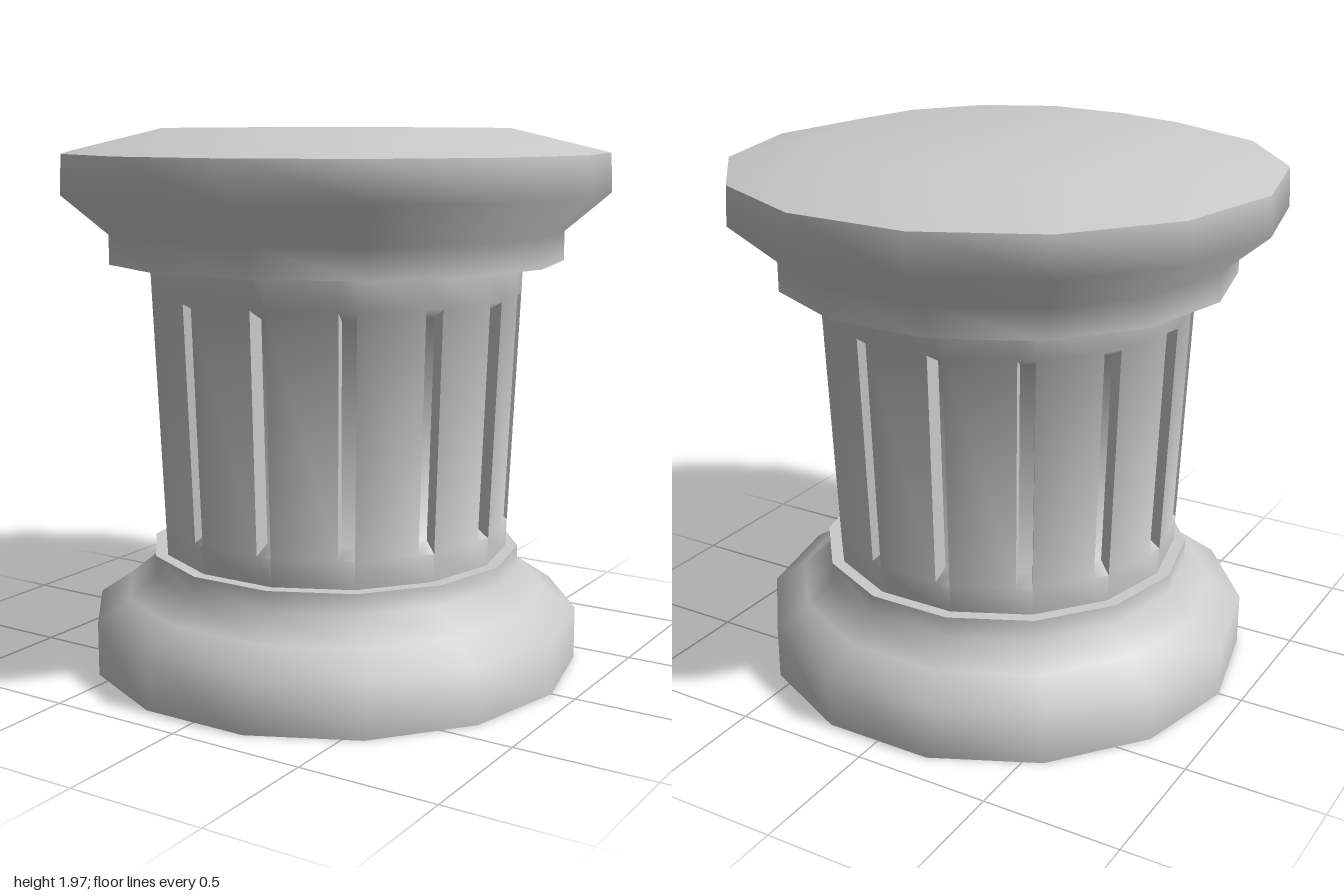
import * as THREE from 'three';
import { toCreasedNormals } from 'three/addons/utils/BufferGeometryUtils.js';

const SIDES = 14;
const CREASE = 1.08;
const material = new THREE.MeshStandardMaterial({ color: 0xcccccc, side: THREE.DoubleSide });

function addMesh(group, name, geometry) {
  const mesh = new THREE.Mesh(toCreasedNormals(geometry, CREASE), material);
  mesh.name = name;
  group.add(mesh);
}

// Fourteen-sided turned part with a corner on the x axis
function turned(profile) {
  const points = profile.map(([r, y]) => new THREE.Vector2(r, y));
  return new THREE.LatheGeometry(points, SIDES, Math.PI / 2, Math.PI * 2);
}

// Tapered shaft: each facet has one sunken slot beside its corner
function shaftGeometry() {
  const positions = [];
  const rows = [0.43, 0.53, 1.38, 1.5];
  const columns = [0, 0.2, 1];
  const depth = 0.06;
  const step = (Math.PI * 2) / SIDES;

  const quad = (a, b, c, d) => {
    for (const p of [a, b, c, a, c, d]) positions.push(p.x, p.y, p.z);
  };

  for (let k = 0; k < SIDES; k++) {
    const a0 = k * step;
    const a1 = ((k + 1) % SIDES) * step;
    const mid = (k + 0.5) * step;

    // Point on the facet: u across, y up, sunk inwards
    const at = (u, y, sink = 0) => {
      const r = 0.645 + (0.045 * (y - 0.43)) / 1.07;
      return new THREE.Vector3(
        r * THREE.MathUtils.lerp(Math.cos(a0), Math.cos(a1), u) - sink * Math.cos(mid),
        y,
        r * THREE.MathUtils.lerp(Math.sin(a0), Math.sin(a1), u) - sink * Math.sin(mid)
      );
    };

    for (let i = 0; i < 2; i++) {
      for (let j = 0; j < 3; j++) {
        if (i === 0 && j === 1) continue; // slot opening
        const [u0, u1, y0, y1] = [columns[i], columns[i + 1], rows[j], rows[j + 1]];
        quad(at(u0, y0), at(u0, y1), at(u1, y1), at(u1, y0));
      }
    }

    // Slot walls with sloping ends, then the slot floor
    const rim = [at(0, 0.53), at(0, 1.38), at(0.2, 1.38), at(0.2, 0.53)];
    const floor = [
      at(0.015, 0.565, depth), at(0.015, 1.345, depth),
      at(0.185, 1.345, depth), at(0.185, 0.565, depth)
    ];
    for (let i = 0; i < 4; i++) {
      const n = (i + 1) % 4;
      quad(rim[i], rim[n], floor[n], floor[i]);
    }
    quad(...floor);
  }

  const geometry = new THREE.BufferGeometry();
  geometry.setAttribute('position', new THREE.Float32BufferAttribute(positions, 3));
  return geometry;
}

export function createModel() {
  const group = new THREE.Group();
  group.name = 'column';

  // Hollow foot, open underneath, with a ledge around the shaft
  addMesh(group, 'base', turned([
    [0.91, 0], [0.91, 0.195], [0.79, 0.275], [0.69, 0.355], [0.69, 0.43], [0.645, 0.43]
  ]));

  addMesh(group, 'flutedShaft', shaftGeometry());

  // Flared head with a shallow sloping top
  addMesh(group, 'capital', turned([
    [0.69, 1.5], [0.835, 1.5], [0.835, 1.605], [1, 1.745], [0.993, 1.885], [0.64, 1.97], [0, 1.97]
  ]));

  return group;
}
